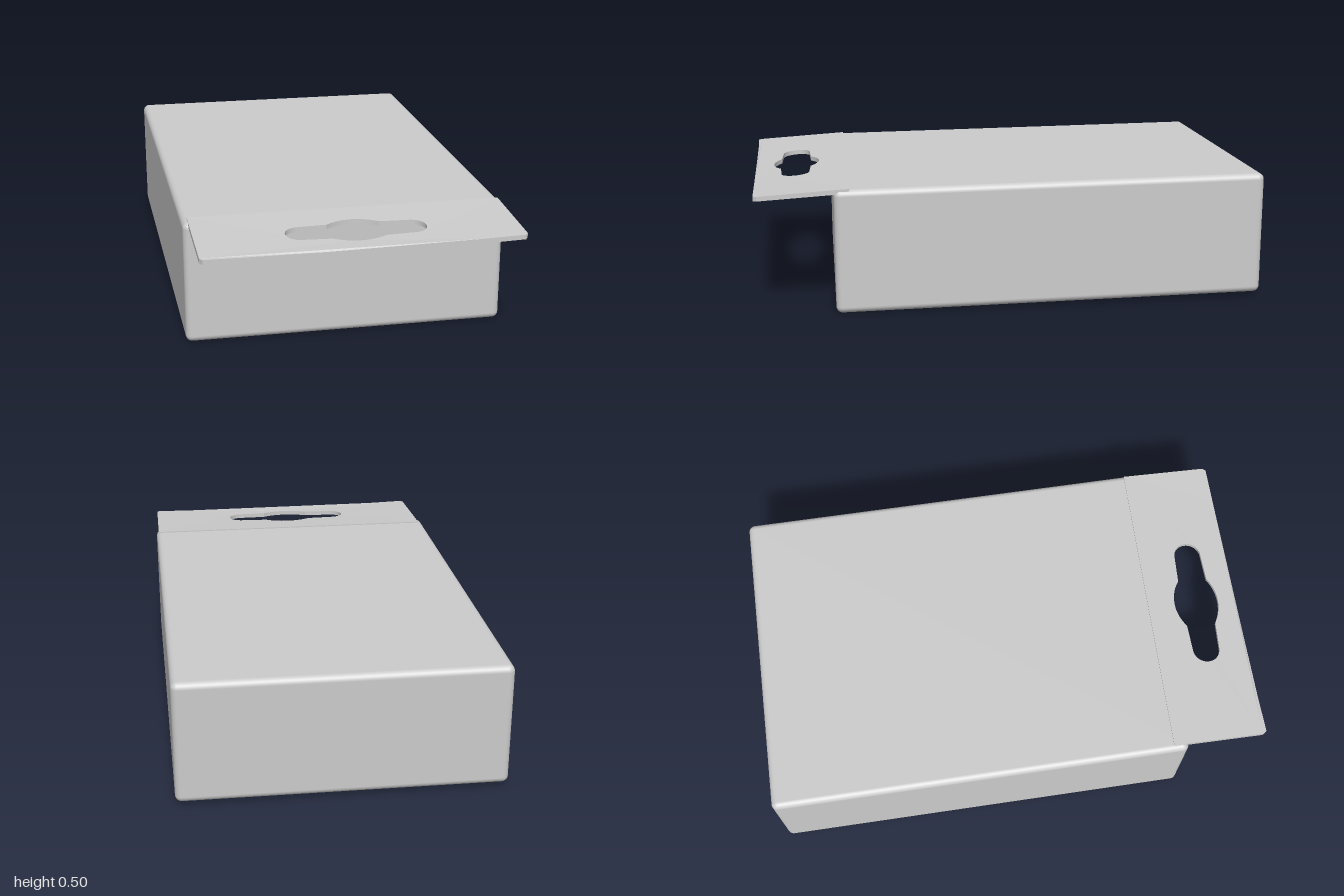
import * as THREE from 'three';
import { RoundedBoxGeometry } from 'three/addons/geometries/RoundedBoxGeometry.js';

const material = new THREE.MeshStandardMaterial({ color: 0xcccccc });

// Moves every vertex of a geometry by a rule
function warp(geometry, rule) {
  const pos = geometry.attributes.position;
  const v = new THREE.Vector3();
  for (let i = 0; i < pos.count; i++) {
    rule(v.fromBufferAttribute(pos, i));
    pos.setXYZ(i, v.x, v.y, v.z);
  }
  return geometry;
}

// Carton body: softly rounded box, slightly skewed and lifted toward the back
function makeCarton() {
  const geometry = new RoundedBoxGeometry(1.235, 0.48, 1.67, 4, 0.025);
  geometry.translate(0, 0.25, -0.155);
  warp(geometry, (v) => {
    const back = (0.68 - v.z) / 1.67;
    v.x += 0.012 - 0.022 * back;
    v.y += 0.016 * back - 0.004;
  });
  const mesh = new THREE.Mesh(geometry, material);
  mesh.name = 'cartonBody';
  return mesh;
}

// Slot with a round bulge in the middle, drawn in x and z
function makeSlot() {
  const slot = new THREE.Path();
  const cx = 0.015, cz = 0.825, r = 0.055, half = 0.21;
  slot.moveTo(cx - half, cz - r);
  slot.lineTo(cx - 0.1, cz - r - 0.005);
  slot.bezierCurveTo(cx - 0.04, cz - 0.105, cx + 0.04, cz - 0.105, cx + 0.1, cz - r - 0.005);
  slot.lineTo(cx + half, cz - r);
  slot.absarc(cx + half, cz, r, -Math.PI / 2, Math.PI / 2, false);
  slot.lineTo(cx + 0.1, cz + r + 0.005);
  slot.bezierCurveTo(cx + 0.04, cz + 0.1, cx - 0.04, cz + 0.1, cx - 0.1, cz + r + 0.005);
  slot.lineTo(cx - half, cz + r);
  slot.absarc(cx - half, cz, r, Math.PI / 2, Math.PI * 1.5, false);
  return slot;
}

// Hanging flap: thin sheet continuing the top face, drooping to its free edge
function makeFlap() {
  const shape = new THREE.Shape();
  shape.moveTo(-0.585, 0.62);
  shape.lineTo(0.62, 0.62);
  shape.lineTo(0.622, 0.965);
  shape.lineTo(0.612, 0.978);
  for (let i = 1; i < 8; i++) {
    const t = i / 8;
    shape.lineTo(0.612 - 1.182 * t, 0.978 + 0.02 * t);
  }
  shape.lineTo(-0.57, 1);
  shape.lineTo(-0.58, 0.985);
  const geometry = new THREE.ExtrudeGeometry(shape, {
    depth: 0.018, bevelEnabled: false, curveSegments: 14,
  });
  shape.holes.push(makeSlot());
  geometry.dispose();
  const flap = new THREE.ExtrudeGeometry(shape, {
    depth: 0.018, bevelEnabled: false, curveSegments: 14,
  });
  flap.rotateX(Math.PI / 2);
  warp(flap, (v) => {
    const out = (v.z - 0.62) / 0.38;
    const sag = 1 - (v.x / 0.62) ** 2;
    v.y += 0.491 - out * (0.022 + 0.008 * sag);
  });
  flap.computeVertexNormals();
  const mesh = new THREE.Mesh(flap, material);
  mesh.name = 'hangingFlap';
  return mesh;
}

export function createModel() {
  const group = new THREE.Group();
  group.name = 'hangingCarton';
  group.add(makeCarton(), makeFlap());
  return group;
}
